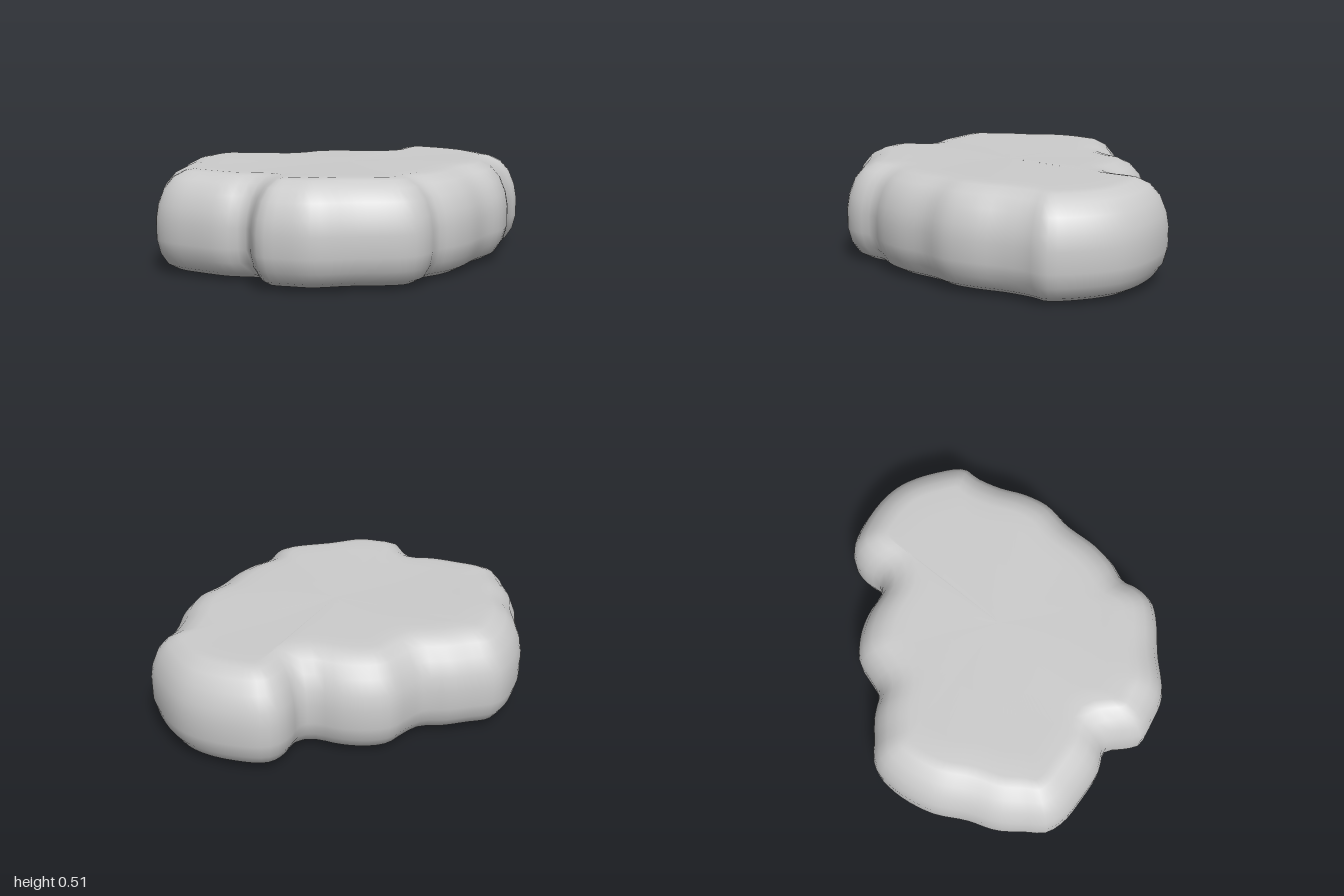
import * as THREE from 'three';

// Plan outline of the stone as x, z pairs, clockwise seen from above
const OUTLINE = [
  [-1, -.15], [-.96, -.24], [-.9, -.37], [-.8, -.49], [-.7, -.64], [-.54, -.77], [-.4, -.82],
  [-.27, -.78], [-.16, -.74], [-.06, -.68], [.04, -.69], [.15, -.71], [.26, -.67], [.36, -.59],
  [.44, -.49], [.5, -.47], [.6, -.53], [.68, -.55], [.75, -.53], [.86, -.43], [.95, -.3],
  [.995, -.17], [.995, .02], [.95, .19], [.87, .24], [.77, .33], [.68, .44], [.57, .53],
  [.43, .58], [.27, .67], [.15, .71], [.03, .725], [-.04, .78], [-.13, .81], [-.23, .79],
  [-.4, .72], [-.6, .65], [-.7, .55], [-.765, .46], [-.76, .4], [-.735, .28], [-.83, .2],
  [-.92, .07], [-.985, -.05],
];

// Edge profile from bottom centre to top centre: inset, height, scale to centre
const PROFILE = [
  [.18, .01, 0], [.18, .01, .5], [.18, .01, .85], [.16, .011, 1], [.1, .02, 1], [.055, .045, 1],
  [.018, .1, 1], [0, .17, 1], [0, .27, 1], [.012, .34, 1], [.042, .415, 1], [.09, .47, 1],
  [.15, .5, 1], [.2, .508, 1], [.2, .508, .85], [.2, .506, .5], [.2, .505, 0],
];

function buildStone(segments) {
  const curve = new THREE.CatmullRomCurve3(
    OUTLINE.map(([x, z]) => new THREE.Vector3(x, 0, z)), true, 'centripetal');
  const pts = curve.getSpacedPoints(segments).slice(0, segments);
  const at = (i) => pts[(i + segments) % segments];

  // Outward directions, taken over a wide span so that the insets do not cross
  const out = pts.map((_, i) => {
    const n = new THREE.Vector3();
    for (let k = 1; k <= 9; k++) {
      const t = at(i + k).clone().sub(at(i - k)).normalize();
      n.add(new THREE.Vector3(t.z, 0, -t.x));
    }
    return n.normalize();
  });

  const positions = [], indices = [];
  PROFILE.forEach(([inset, y, scale], j) => {
    pts.forEach((p, i) => {
      const x = (p.x - out[i].x * inset) * scale;
      const z = (p.z - out[i].z * inset) * scale;
      // Gentle unevenness of the worn faces
      const wave = .006 * Math.sin(5 * x + 1) * Math.cos(6 * z) * scale;
      positions.push(x, y + wave, z);
      if (j === PROFILE.length - 1) return;
      const a = j * segments + i, b = j * segments + (i + 1) % segments;
      if (j < PROFILE.length - 2) indices.push(a, a + segments, b + segments);
      else indices.push(a, a + segments, b);
      if (j > 0 && j < PROFILE.length - 2) indices.push(a, b + segments, b);
    });
  });

  const geometry = new THREE.BufferGeometry();
  geometry.setAttribute('position', new THREE.Float32BufferAttribute(positions, 3));
  geometry.setIndex(indices);
  geometry.computeVertexNormals();
  return geometry;
}

export function createModel() {
  const group = new THREE.Group();
  group.name = 'flatStone';
  const stone = new THREE.Mesh(buildStone(132),
    new THREE.MeshStandardMaterial({ color: 0xcccccc }));
  stone.name = 'stoneSlab';
  group.add(stone);
  return group;
}
